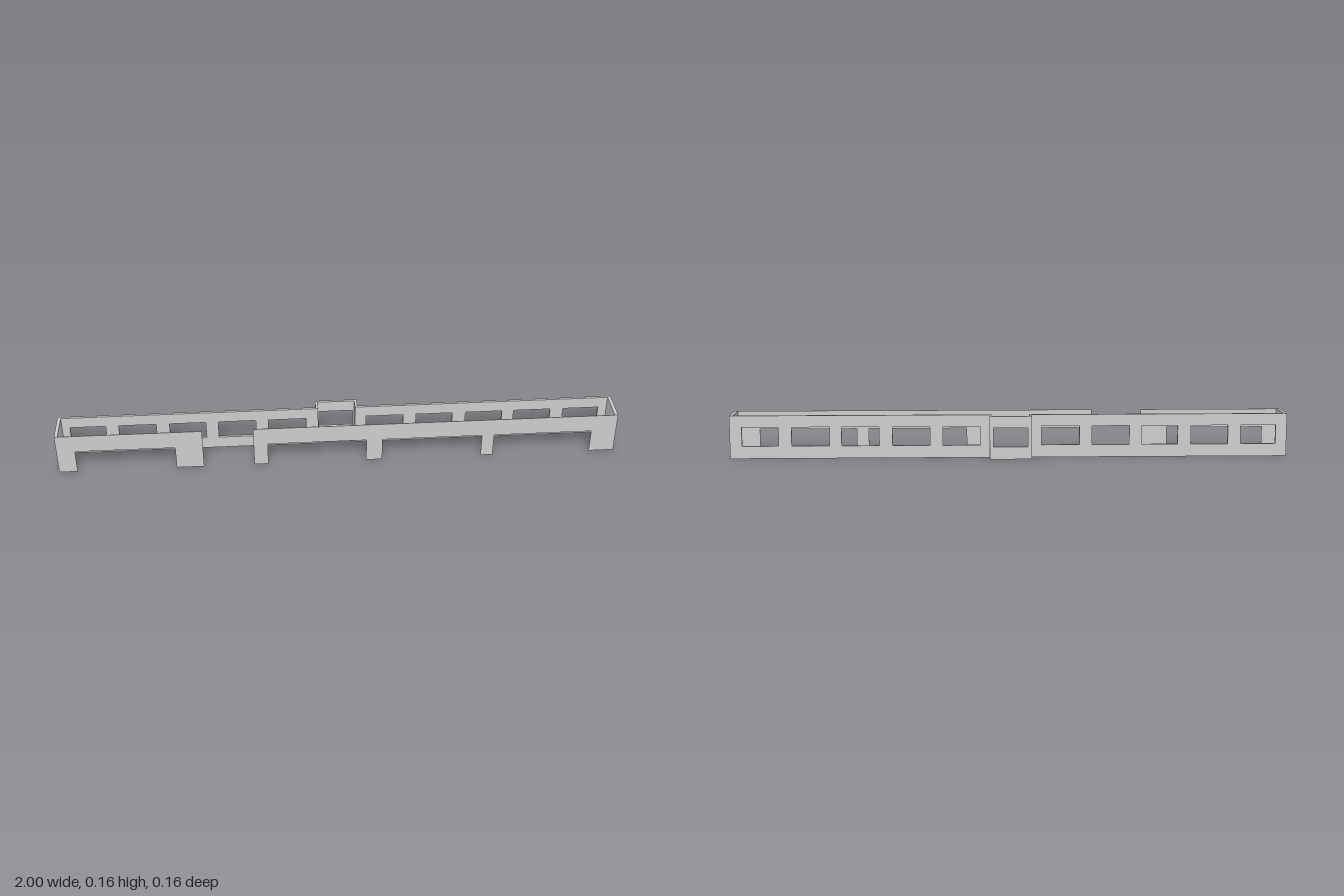
import * as THREE from 'three';

const H = 0.155, FRONT = 0.08, WALL = -0.04, BACK = -0.08, T = 0.009;

export function createModel() {
  const model = new THREE.Group();
  const material = new THREE.MeshStandardMaterial({ color: 0xcccccc, flatShading: true });

  const add = (name, geometry) => {
    const mesh = new THREE.Mesh(geometry, material);
    mesh.name = name;
    model.add(mesh);
  };
  const box = (name, x0, x1, z0, z1) => add(name,
    new THREE.BoxGeometry(x1 - x0, H, z1 - z0).translate((x0 + x1) / 2, H / 2, (z0 + z1) / 2));

  // Upright panel with an outline and rectangular window holes, extruded forward from z
  const panel = (name, points, windows, z, depth) => {
    const shape = new THREE.Shape(points.map(([x, y]) => new THREE.Vector2(x, y)));
    for (const [a, b] of windows) {
      shape.holes.push(new THREE.Path([[a, 0.045], [a, 0.113], [b, 0.113], [b, 0.045]]
        .map(([x, y]) => new THREE.Vector2(x, y))));
    }
    add(name, new THREE.ExtrudeGeometry(shape, { depth, bevelEnabled: false }).translate(0, 0, z));
  };
  const rect = (a, b) => [[a, 0], [b, 0], [b, H], [a, H]];

  // Thin front wall: a lintel carried on legs
  const facade = (name, legs) => {
    const points = [];
    legs.forEach(([a, b], i) => {
      if (i > 0) points.push([a, 0.088]);
      points.push([a, 0], [b, 0]);
      if (i < legs.length - 1) points.push([b, 0.088]);
    });
    points.push([legs[legs.length - 1][1], H], [legs[0][0], H]);
    panel(name, points, [], FRONT - 0.002, 0.002);
  };
  facade('frontWallRight', [[-1, -0.935], [-0.583, -0.485]]);
  facade('frontWallLeft', [[-0.305, -0.255], [0.097, 0.155], [0.513, 0.557], [0.91, 1]]);

  // Back wall in two halves, five windows each
  panel('backWallRight', rect(-1, -0.072),
    [[-0.96, -0.833], [-0.787, -0.653], [-0.605, -0.475], [-0.43, -0.295], [-0.25, -0.114]], WALL, T);
  panel('backWallLeft', rect(0.067, 1),
    [[0.105, 0.24], [0.287, 0.42], [0.468, 0.602], [0.645, 0.78], [0.827, 0.957]], WALL, T);

  // Bay projecting from the back
  panel('bayBack', rect(-0.078, 0.073), [[-0.064, 0.059]], BACK, T);
  box('baySideRight', -0.078, -0.069, BACK + T, WALL + T);
  box('baySideLeft', 0.064, 0.073, BACK + T, WALL + T);

  // End walls
  box('endWallRight', -1, -0.988, WALL, FRONT);
  box('endWallLeft', 0.988, 1, WALL, FRONT);

  return model;
}
